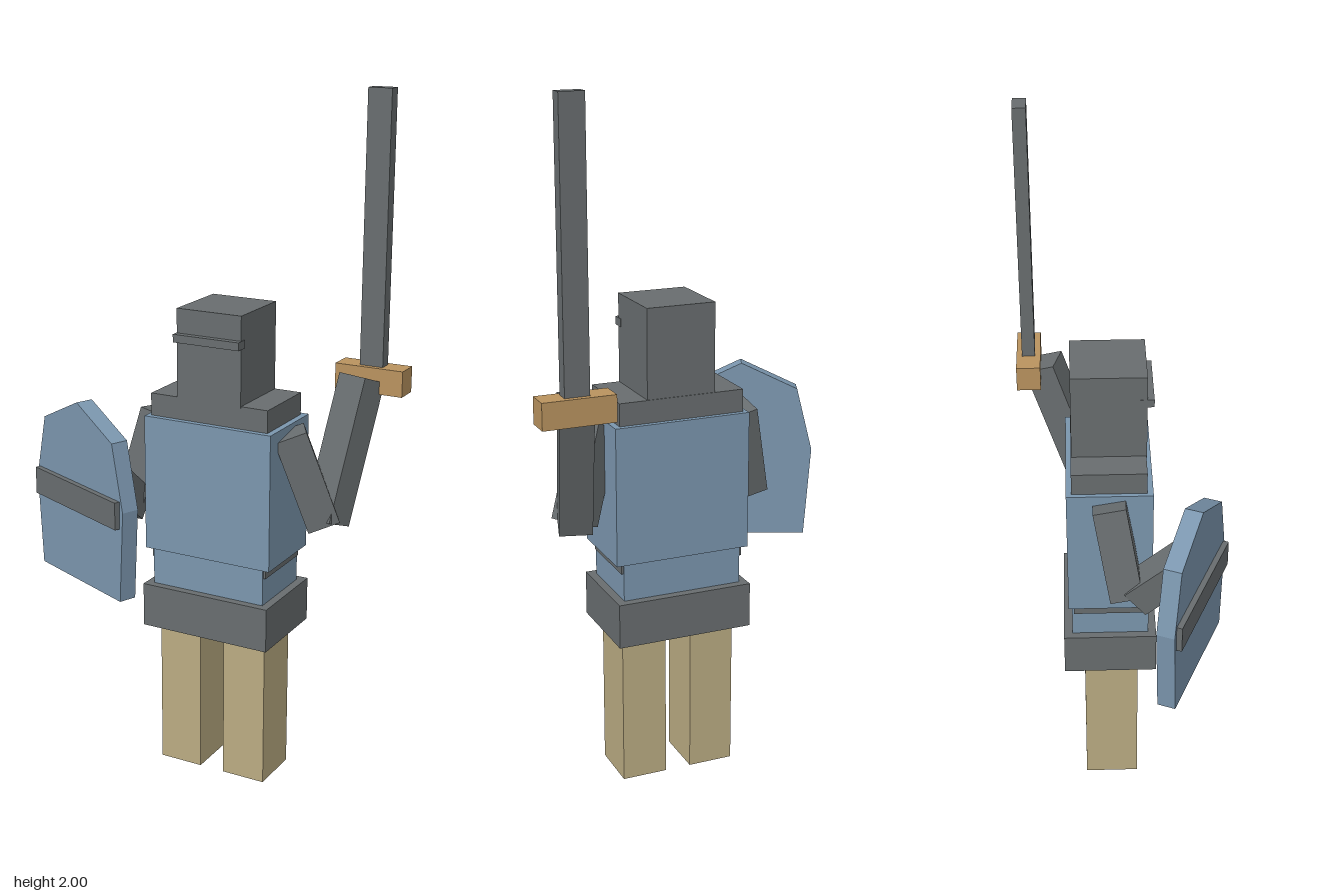
import * as THREE from 'three';

const mat = (color) => new THREE.MeshStandardMaterial({ color, flatShading: true });
const iron = mat(0x686d6f);
const blue = mat(0x7b96ae);
const tan = mat(0xbaab82);
const wood = mat(0xb9935f);

// Box given by its extents on each axis
function block(name, material, [x0, x1], [y0, y1], [z0, z1]) {
  const mesh = new THREE.Mesh(new THREE.BoxGeometry(x1 - x0, y1 - y0, z1 - z0), material);
  mesh.position.set((x0 + x1) / 2, (y0 + y1) / 2, (z0 + z1) / 2);
  mesh.name = name;
  return mesh;
}

// Square bar from a to b; a turned bar faces the way it leans
function limb(name, a, b, turned) {
  const from = new THREE.Vector3(...a);
  const to = new THREE.Vector3(...b);
  const dir = to.clone().sub(from);
  const mesh = new THREE.Mesh(new THREE.BoxGeometry(0.093, dir.length(), 0.093), iron);
  mesh.position.copy(from).add(to).multiplyScalar(0.5);
  if (turned) {
    mesh.rotation.order = 'YXZ';
    mesh.rotation.y = Math.atan2(dir.x, dir.z);
    mesh.rotation.x = Math.atan2(Math.hypot(dir.x, dir.z), dir.y);
  } else {
    mesh.quaternion.setFromUnitVectors(new THREE.Vector3(0, 1, 0), dir.normalize());
  }
  mesh.name = name;
  return mesh;
}

// Five-sided-top shield plate with a crossing band
function makeShield() {
  const shield = new THREE.Group();
  shield.name = 'shield';
  const half = [[0.196, 0.6], [0.215, 0.87], [0.168, 1.06]];
  const outline = [
    ...half,
    [0, 1.14],
    ...half.map(([u, y]) => [-u, y]).reverse(),
  ].map(([u, y]) => new THREE.Vector2(u, y));
  const geometry = new THREE.ExtrudeGeometry(new THREE.Shape(outline), { depth: 0.052, bevelEnabled: false });
  geometry.translate(0, 0, -0.026);
  const plate = new THREE.Mesh(geometry, blue);
  plate.name = 'shieldPlate';
  shield.add(plate, block('shieldBand', iron, [-0.2, 0.2], [0.82, 0.9], [0.02, 0.042]));
  shield.position.set(-0.293, 0, 0.18);
  shield.rotation.y = -0.396;
  return shield;
}

export function createModel() {
  const model = new THREE.Group();
  model.name = 'armouredFighter';

  // Legs
  model.add(
    block('rightLeg', tan, [-0.13, 0.003], [0, 0.46], [-0.117, 0.04]),
    block('leftLeg', tan, [0.08, 0.213], [0, 0.46], [-0.117, 0.04]),
  );

  // Body layers
  model.add(
    block('belt', iron, [-0.158, 0.244], [0.45, 0.58], [-0.177, 0.093]),
    block('waist', blue, [-0.135, 0.22], [0.57, 0.7], [-0.152, 0.07]),
    block('mailShirt', iron, [-0.143, 0.226], [0.66, 1.155], [-0.147, 0.063]),
    block('chestPlate', blue, [-0.156, 0.244], [0.69, 1.09], [-0.162, 0.08]),
  );

  // Helmet with brow bar
  model.add(
    block('helmet', iron, [-0.057, 0.144], [1.15, 1.41], [-0.145, 0.065]),
    block('browBar', iron, [-0.059, 0.146], [1.317, 1.34], [0.045, 0.084]),
  );

  // Arms
  model.add(
    limb('leftUpperArm', [0.335, 0.805, -0.075], [0.25, 1.07, -0.025], true),
    limb('leftForearm', [0.34, 0.805, -0.09], [0.378, 1.2, -0.225], true),
    limb('rightUpperArm', [-0.23, 0.805, 0.003], [-0.17, 1.07, -0.043], false),
    limb('rightForearm', [-0.229, 0.8, 0.025], [-0.229, 0.93, 0.183], false),
  );

  // Sword
  const sword = new THREE.Group();
  sword.name = 'sword';
  sword.add(
    block('guard', wood, [0.292, 0.497], [1.155, 1.23], [-0.302, -0.232]),
    block('blade', iron, [0.36, 0.43], [1.2, 2], [-0.286, -0.248]),
  );

  model.add(sword, makeShield());
  return model;
}
